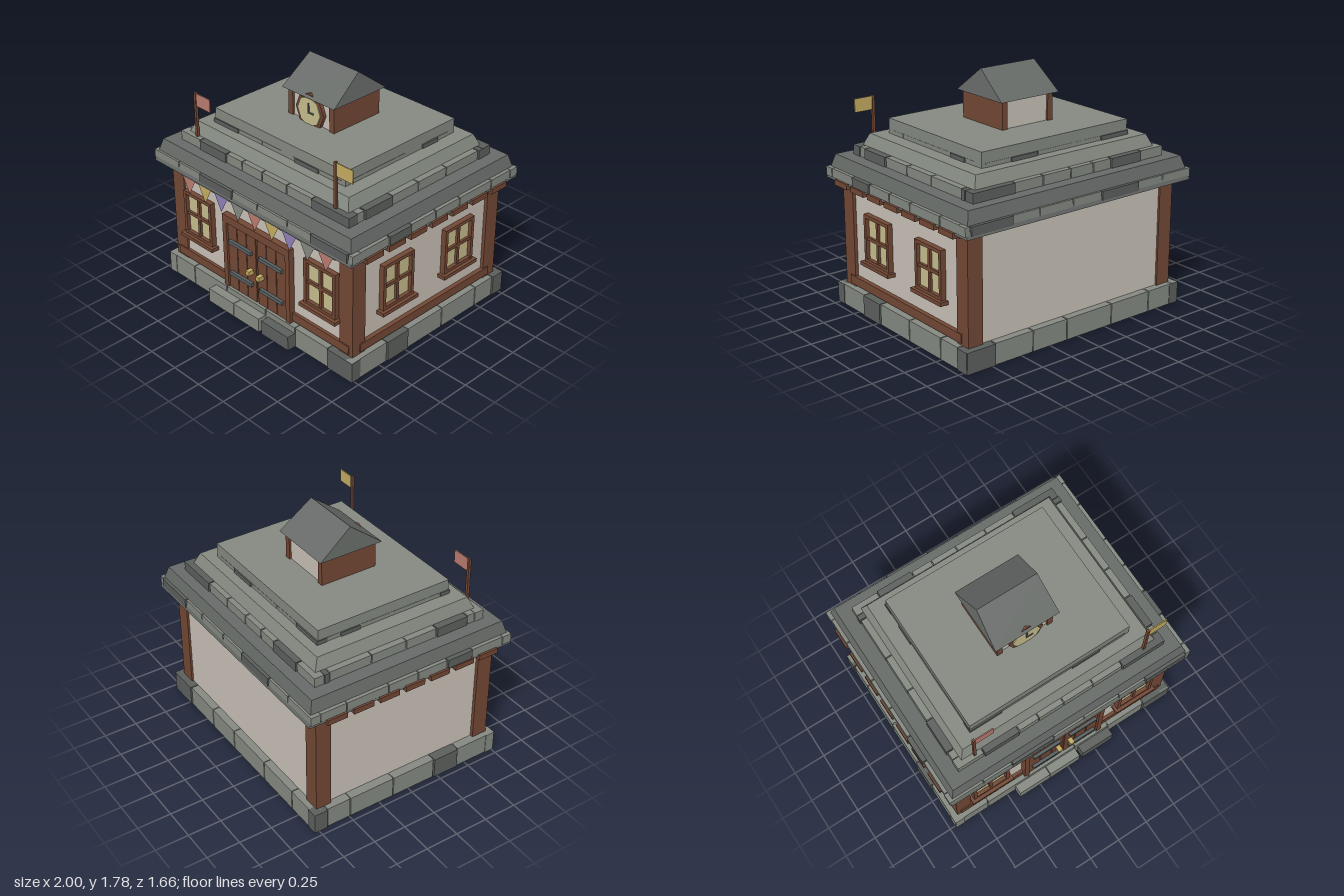
import * as THREE from 'three';

const mat = (name, color, side = THREE.FrontSide) => {
  const m = new THREE.MeshStandardMaterial({ color, side });
  m.name = name;
  return m;
};

export function createModel() {
  const M = {
    light: mat('light stone', 0x858a82),
    slate: mat('slate', 0x676b68),
    dark: mat('dark stone', 0x5c605d),
    timber: mat('timber', 0x734835),
    plaster: mat('plaster', 0xc9c2b8),
    glass: mat('warm glass', 0xc8be8e),
    yellow: mat('yellow', 0xc6ad62, THREE.DoubleSide),
    red: mat('red', 0xbb7d71, THREE.DoubleSide),
    purple: mat('purple', 0x9080b8, THREE.DoubleSide),
    iron: mat('iron', 0x586062),
  };
  const model = new THREE.Group();
  model.name = 'townHall';
  const house = new THREE.Group();
  house.name = 'house';
  house.position.z = -0.01;
  model.add(house);

  const add = (name, geo, material, parent = house) => {
    const m = new THREE.Mesh(geo, material);
    m.name = name;
    parent.add(m);
    return m;
  };
  // box from its low and high limits on each axis
  const box = (name, material, x0, x1, y0, y1, z0, z1, parent = house) => {
    const m = add(name, new THREE.BoxGeometry(x1 - x0, y1 - y0, z1 - z0), material, parent);
    m.position.set((x0 + x1) / 2, (y0 + y1) / 2, (z0 + z1) / 2);
    return m;
  };
  // box whose top shrinks to its own half sizes
  const frustum = (name, material, y0, y1, bx, bz, tx, tz) => {
    const g = new THREE.BoxGeometry(bx * 2, y1 - y0, bz * 2);
    const p = g.attributes.position;
    for (let i = 0; i < p.count; i++) {
      if (p.getY(i) > 0) p.setXYZ(i, Math.sign(p.getX(i)) * tx, p.getY(i), Math.sign(p.getZ(i)) * tz);
    }
    g.computeVertexNormals();
    const m = add(name, g, material);
    m.position.y = (y0 + y1) / 2;
    return m;
  };
  // ring of stones: joints along x and along z, with the dark ones listed
  const stoneRow = (name, y0, y1, hx, hz, xs, darkX, zs, darkZ) => {
    const depth = 0.08, gap = 0.004;
    for (const s of [1, -1]) {
      for (let i = 0; i < xs.length - 1; i++) {
        const d = darkX.includes(i), out = hz - (d ? 0 : 0.008);
        const a = s * out, b = s * (hz - depth);
        box(name, d ? M.dark : M.light, xs[i] + gap, xs[i + 1] - gap, y0, y1, Math.min(a, b), Math.max(a, b));
      }
      for (let i = 0; i < zs.length - 1; i++) {
        const d = darkZ.includes(i), out = hx - (d ? 0 : 0.008);
        const a = s * out, b = s * (hx - depth);
        box(name, d ? M.dark : M.light, Math.min(a, b), Math.max(a, b), y0, y1, zs[i] + gap, zs[i + 1] - gap);
      }
    }
  };

  // foundation and front step
  box('foundationCore', M.dark, -0.94, 0.94, 0, 0.15, -0.76, 0.76);
  stoneRow('foundationStone', 0, 0.155, 0.96, 0.78,
    [-0.96, -0.67, -0.31, 0.1, 0.4, 0.72, 0.96], [4 + 1],
    [-0.78, -0.67, -0.48, -0.12, 0.23, 0.44, 0.78], [0, 4]);
  box('stepStone', M.light, -0.43, -0.165, 0, 0.11, 0.7, 0.84);
  box('stepStone', M.light, -0.16, 0.1, 0, 0.11, 0.7, 0.84);
  box('stepStone', M.dark, 0.13, 0.4, 0, 0.11, 0.7, 0.84);

  // walls, corner posts and beams
  box('walls', M.plaster, -0.885, 0.885, 0.15, 0.955, -0.715, 0.715);
  for (const s of [-1, 1]) for (const t of [-1, 1]) {
    const px = s * 0.85, pz = t * 0.67;
    box('cornerPost', M.timber, px - 0.06, px + 0.06, 0.15, 0.96, pz - 0.06, pz + 0.06);
  }
  for (const [y0, y1] of [[0.17, 0.235], [0.9, 0.955]]) {
    box('frontBeam', M.timber, -0.88, 0.88, y0, y1, 0.7, 0.738);
    box('sideBeam', M.timber, 0.87, 0.918, y0, y1, -0.66, 0.66);
  }
  // rafter ends under both side eaves
  for (const s of [-1, 1]) for (let i = 0; i < 7; i++) {
    const z = (i - 3) * 0.206;
    box('rafterEnd', M.timber, s * 0.94 - 0.06, s * 0.94 + 0.06, 0.922, 0.962, z - 0.078, z + 0.078);
  }

  // windows, built facing +z
  const makeWindow = (x, z, turn) => {
    const w = new THREE.Group();
    w.name = 'window';
    w.position.set(x, 0.578, z);
    w.rotation.y = turn;
    house.add(w);
    box('glass', M.glass, -0.13, 0.13, -0.16, 0.16, 0, 0.012, w);
    for (const s of [-1, 1]) {
      box('frameSide', M.timber, s * 0.136 - 0.013, s * 0.136 + 0.013, -0.178, 0.178, 0, 0.04, w);
      box('frameRail', M.timber, -0.149, 0.149, s * 0.165 - 0.013, s * 0.165 + 0.013, 0, 0.039, w);
    }
    box('mullion', M.timber, -0.012, 0.012, -0.16, 0.16, 0, 0.03, w);
    box('crossbar', M.timber, -0.13, 0.13, -0.012, 0.012, 0, 0.03, w);
    box('sill', M.timber, -0.172, 0.172, -0.203, -0.175, 0, 0.064, w);
  };
  makeWindow(-0.622, 0.715, 0);
  makeWindow(0.622, 0.715, 0);
  makeWindow(0.885, 0.305, Math.PI / 2);
  makeWindow(0.885, -0.31, Math.PI / 2);

  // double door
  box('doorBacking', M.timber, -0.31, 0.31, 0.155, 0.72, 0.7, 0.741);
  box('doorLintel', M.timber, -0.34, 0.34, 0.69, 0.75, 0.7, 0.762);
  for (const s of [-1, 1]) {
    box('doorJamb', M.timber, s * 0.32 - 0.02, s * 0.32 + 0.02, 0.155, 0.7, 0.7, 0.761);
    for (let i = 0; i < 3; i++) {
      const x = s * (0.054 + i * 0.097);
      box('doorPlank', M.timber, x - 0.045, x + 0.045, 0.155, 0.69, 0.72, 0.75);
    }
    for (const y of [0.29, 0.55]) box('strapHinge', M.iron, s * 0.155 - 0.115, s * 0.155 + 0.115, y - 0.014, y + 0.014, 0.74, 0.773);
    box('doorKnob', M.yellow, s * 0.052 - 0.017, s * 0.052 + 0.017, 0.382, 0.416, 0.74, 0.795);
  }

  // bunting
  box('buntingCord', M.iron, -0.775, 0.775, 0.876, 0.886, 0.75, 0.758);
  const pennant = new THREE.ShapeGeometry(new THREE.Shape([[-0.066, 0], [0, -0.125], [0.066, 0]].map(p => new THREE.Vector2(...p))));
  const hues = [M.red, M.yellow, M.purple, M.light];
  for (let i = 0; i < 9; i++) {
    add('pennant', pennant, hues[i % 4].side === THREE.DoubleSide ? hues[i % 4] : M.light).position.set((i - 4) * 0.1725, 0.88, 0.76);
  }

  // stepped roof
  frustum('lowerRoof', M.slate, 0.947, 1.12, 0.985, 0.825, 0.935, 0.775);
  stoneRow('eaveStone', 0.965, 1.03, 0.995, 0.825,
    [-0.995, -0.72, -0.49, -0.15, 0.1, 0.39, 0.61, 0.95, 0.995], [2, 6],
    [-0.745, -0.54, -0.21, 0.03, 0.27, 0.48, 0.745], [4]);
  frustum('middleRoof', M.light, 1.115, 1.275, 0.815, 0.68, 0.75, 0.61);
  stoneRow('middleStone', 1.12, 1.19, 0.84, 0.695,
    [-0.84, -0.63, -0.35, -0.19, 0.01, 0.25, 0.49, 0.84], [1, 6],
    [-0.615, -0.57, -0.24, 0.04, 0.29, 0.55, 0.615], [0, 4]);
  box('upperRoof', M.light, -0.64, 0.64, 1.27, 1.385, -0.53, 0.53);
  stoneRow('upperStone', 1.275, 1.305, 0.65, 0.54,
    [-0.65, -0.39, -0.15, 0.17, 0.4, 0.61], [0, 3],
    [-0.47, -0.36, -0.2, 0.05, 0.35, 0.47], [1]);

  // clock cupola
  box('cupolaWalls', M.plaster, -0.19, 0.19, 1.38, 1.6, -0.205, 0.205);
  for (const s of [-1, 1]) box('cupolaSide', M.timber, s * 0.2 - 0.022, s * 0.2 + 0.022, 1.38, 1.6, -0.22, 0.22);
  frustum('cupolaRoof', M.slate, 1.585, 1.777, 0.252, 0.25, 0.235, 0);
  const disc = (name, material, r, z0, z1) => {
    const m = add(name, new THREE.CylinderGeometry(r, r, z1 - z0, 8).rotateX(Math.PI / 2), material);
    m.position.set(0, 1.48, (z0 + z1) / 2);
    m.geometry.computeVertexNormals();
  };
  disc('clockRim', M.timber, 0.135, 0.2, 0.232);
  disc('clockFace', M.glass, 0.11, 0.2, 0.24);
  box('minuteHand', M.iron, -0.006, 0.006, 1.47, 1.545, 0.24, 0.246);
  box('hourHand', M.iron, -0.006, 0.048, 1.468, 1.48, 0.24, 0.246);

  // flags
  for (const [x, material] of [[-0.688, M.red], [0.684, M.yellow]]) {
    box('flagPole', M.timber, x - 0.01, x + 0.01, 1.12, 1.53, 0.65, 0.67);
    box('flag', material, x + 0.01, x + 0.152, 1.427, 1.525, 0.656, 0.664);
  }
  return model;
}
